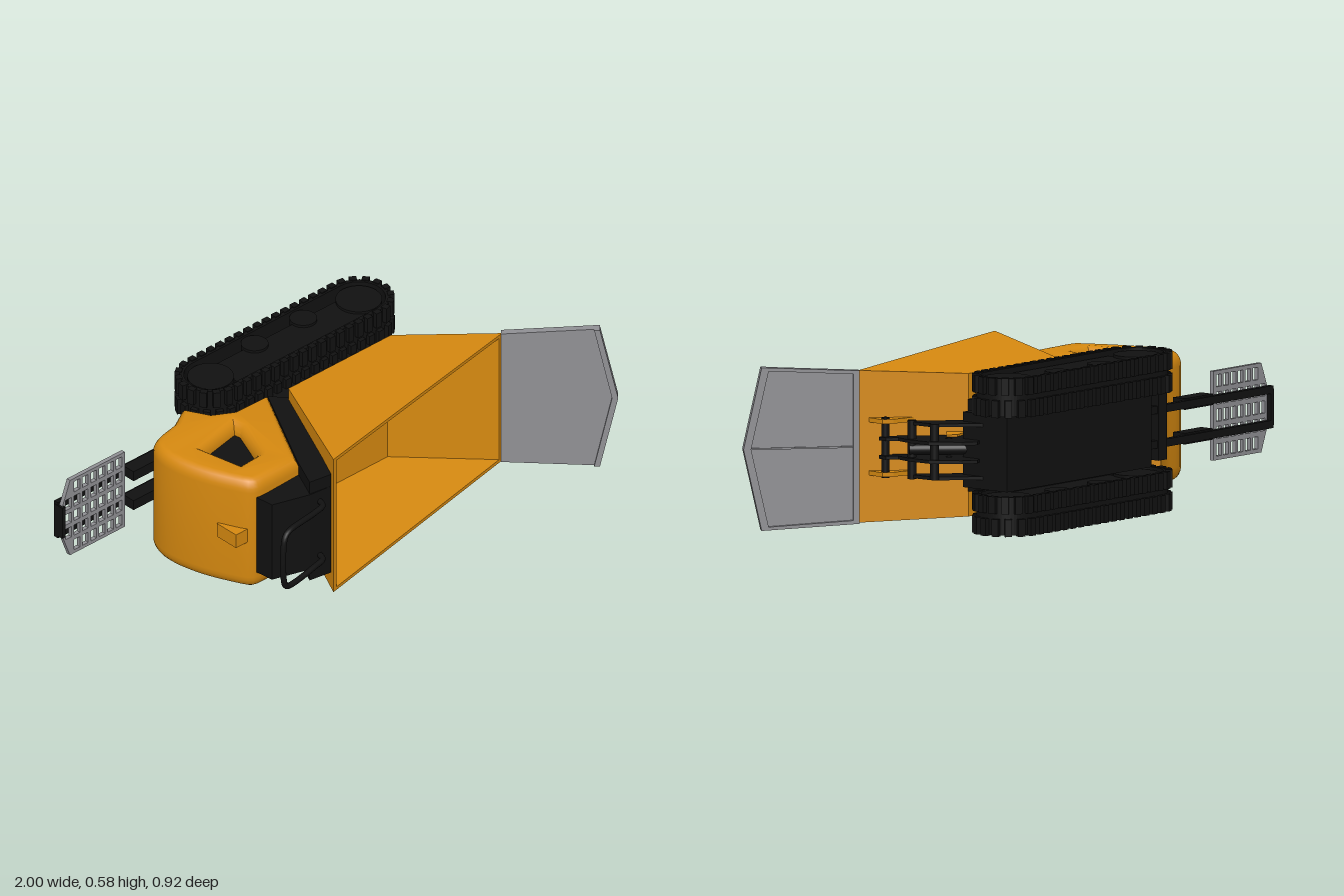
import * as THREE from 'three';
import { mergeGeometries, toCreasedNormals } from 'three/addons/utils/BufferGeometryUtils.js';

const paint = (color) => new THREE.MeshStandardMaterial({ color });
const yellow = paint(0xd68910), black = paint(0x111111), grey = paint(0x909094);
const sheet = paint(0xd68910);
sheet.side = THREE.DoubleSide;

const V = (pts) => pts.map((p) => new THREE.Vector2(p[0], p[1]));
const shapeOf = (pts) => new THREE.Shape(V(pts));

// Everything is built upright (x along, y up, z across), then laid on its side.
export function createModel() {
  const root = new THREE.Group();
  root.name = 'trackedDumper';
  const body = new THREE.Group();
  body.name = 'machine';
  body.rotation.x = Math.PI / 2;
  body.position.y = 0.295;
  root.add(body);

  const add = (name, geo, mat, parent = body) => {
    const m = new THREE.Mesh(geo, mat);
    m.name = name;
    parent.add(m);
    return m;
  };
  const box = (name, x0, x1, y0, y1, z0, z1, mat, parent) => {
    const m = add(name, new THREE.BoxGeometry(x1 - x0, y1 - y0, z1 - z0), mat, parent);
    m.position.set((x0 + x1) / 2, (y0 + y1) / 2, (z0 + z1) / 2);
    return m;
  };
  const slab = (name, shape, z0, z1, mat, parent) => {
    const g = new THREE.ExtrudeGeometry(shape, { depth: z1 - z0, bevelEnabled: false, curveSegments: 16 });
    g.translate(0, 0, z0);
    return add(name, g, mat, parent);
  };
  const rod = (name, x, y, r, z0, z1, mat, parent) => {
    const g = new THREE.CylinderGeometry(r, r, z1 - z0, 28);
    g.rotateX(Math.PI / 2);
    const m = add(name, g, mat, parent);
    m.position.set(x, y, (z0 + z1) / 2);
    return m;
  };

  // Tracks: hollow belt, staggered lugs, wheels and inner frame
  const xa = -0.255, xb = 0.46, yc = -0.332;
  const stadium = (T, r) => {
    const s = new T();
    s.absarc(xb, yc, r, -Math.PI / 2, Math.PI / 2, false);
    s.absarc(xa, yc, r, Math.PI / 2, Math.PI * 1.5, false);
    s.closePath();
    return s;
  };
  const run = xb - xa, lugR = 0.115, arc = Math.PI * lugR, total = 2 * (run + arc);
  const lugAt = (d) => {
    if (d < run) return [xa + d, yc - lugR, -Math.PI / 2];
    d -= run;
    if (d < arc) {
      const a = -Math.PI / 2 + d / lugR;
      return [xb + lugR * Math.cos(a), yc + lugR * Math.sin(a), a];
    }
    d -= arc;
    if (d < run) return [xb - d, yc + lugR, Math.PI / 2];
    const a = Math.PI / 2 + (d - run) / lugR;
    return [xa + lugR * Math.cos(a), yc + lugR * Math.sin(a), a];
  };
  for (const side of [1, -1]) {
    const track = new THREE.Group();
    track.name = side > 0 ? 'rightTrack' : 'leftTrack';
    track.position.z = side * 0.2125;
    body.add(track);
    const belt = stadium(THREE.Shape, 0.111);
    belt.holes.push(stadium(THREE.Path, 0.095));
    slab('belt', belt, -0.068, 0.068, black, track);
    const lugs = [], n = 48;
    for (let i = 0; i < n; i++) {
      for (const half of [1, -1]) {
        const [x, y, a] = lugAt(((i + (half > 0 ? 0.15 : 0.4)) / n) * total);
        const g = new THREE.BoxGeometry(0.024, 0.026, 0.062);
        g.rotateZ(a);
        g.translate(x, y, half * 0.0405);
        lugs.push(g);
      }
    }
    add('lugs', mergeGeometries(lugs), black, track);
    rod('idlerWheel', xa, yc, 0.083, -0.06, 0.06, black, track);
    rod('driveWheel', xb, yc, 0.083, -0.06, 0.06, black, track);
    for (const x of [0, 0.235]) rod('roller', x, -0.378, 0.049, -0.06, 0.06, black, track);
    box('trackFrame', -0.2, 0.44, -0.385, -0.245, -0.05, 0.05, black, track);
  }

  // Chassis between the tracks and the platform under the skip
  box('chassis', -0.3, 0.5, -0.362, -0.16, -0.135, 0.135, black);
  box('platform', -0.29, 0.41, -0.25, -0.107, -0.165, 0.165, black);

  // Hood with rounded edges and side windows
  const curved = new THREE.SplineCurve(V([
    [-0.5, 0.222], [-0.56, 0.21], [-0.605, 0.13], [-0.645, 0.03],
    [-0.668, -0.08], [-0.662, -0.17], [-0.62, -0.232], [-0.505, -0.26],
  ])).getPoints(24);
  const hood = new THREE.Shape([
    ...curved,
    ...V([[-0.435, -0.3], [-0.415, -0.31], [-0.4, -0.29], [-0.36, -0.215], [-0.29, -0.175], [-0.13, -0.165], [-0.335, 0.215]]),
  ]);
  hood.holes.push(new THREE.Path(V([[-0.53, -0.065], [-0.355, -0.1], [-0.35, -0.075], [-0.41, 0.07], [-0.425, 0.083], [-0.5, 0.088]])));
  const hoodGeo = new THREE.ExtrudeGeometry(hood, {
    depth: 0.36, bevelThickness: 0.05, bevelSize: 0.035, bevelOffset: -0.035, bevelSegments: 5,
  });
  hoodGeo.translate(0, 0, -0.18);
  add('hood', toCreasedNormals(hoodGeo, 0.6), yellow);
  box('windowCore', -0.56, -0.33, -0.12, 0.11, -0.18, 0.18, black);
  box('hoodLatch', -0.625, -0.555, 0.1, 0.2, -0.028, 0.028, yellow);

  // Bulkhead and control console
  slab('bulkhead', shapeOf([[-0.13, -0.17], [-0.08, -0.107], [-0.3, 0.345], [-0.39, 0.33], [-0.33, 0.2]]), -0.21, 0.21, black);
  slab('console', shapeOf([[-0.545, 0.2], [-0.535, 0.29], [-0.39, 0.335], [-0.3, 0.345], [-0.27, 0.2]]), -0.16, 0.16, black);

  // Handlebar loop
  const bar = [[-0.345, 0.32, 0.115], [-0.36, 0.365, 0.115], [-0.41, 0.38, 0.115], [-0.565, 0.406, 0.115], [-0.585, 0.41, 0.095]];
  const loop = [...bar, ...bar.map(([x, y, z]) => [x, y, -z]).reverse()].map((p) => new THREE.Vector3(...p));
  add('handlebar', new THREE.TubeGeometry(new THREE.CatmullRomCurve3(loop, false, 'centripetal'), 80, 0.011, 10), black);

  // Skip: open tub with thin walls, widening towards the rim
  const outer = [[-0.305, 0.362], [-0.09, -0.105], [0.405, -0.105], [0.685, 0.172]];
  const inner = [[-0.288, 0.359], [-0.045, -0.09], [0.375, -0.09], [0.668, 0.175]];
  const ring = (pts, s, t) => pts.map(([x, y]) => [x, y, s * (0.256 + (y + 0.105) * 0.06 - t)]);
  const oL = ring(outer, 1, 0), oR = ring(outer, -1, 0), iL = ring(inner, 1, 0.013), iR = ring(inner, -1, 0.013);
  const pos = [];
  const quad = (a, b, c, d) => pos.push(...a, ...b, ...c, ...a, ...c, ...d);
  quad(...oL);
  quad(...[...oR].reverse());
  quad(...[...iL].reverse());
  quad(...iR);
  for (let i = 0; i < 3; i++) {
    quad(oR[i], oR[i + 1], oL[i + 1], oL[i]);
    quad(iL[i], iL[i + 1], iR[i + 1], iR[i]);
  }
  quad(oL[0], oL[3], iL[3], iL[0]);
  quad(iR[0], iR[3], oR[3], oR[0]);
  quad(oR[0], oL[0], iL[0], iR[0]);
  quad(iR[3], iL[3], oL[3], oR[3]);
  const tub = new THREE.BufferGeometry();
  tub.setAttribute('position', new THREE.Float32BufferAttribute(pos, 3));
  tub.computeVertexNormals();
  add('skip', tub, sheet);

  // Chute flap: pointed plate with border, centre rib and hinge strip on its underside
  const flap = new THREE.Group();
  flap.name = 'chuteFlap';
  const [c, s] = [0.743, 0.669];
  flap.applyMatrix4(new THREE.Matrix4().makeBasis(
    new THREE.Vector3(c, s, 0), new THREE.Vector3(0, 0, 1), new THREE.Vector3(s, -c, 0),
  ).setPosition(0.68, 0.172, 0));
  body.add(flap);
  const plate = [[0, -0.274], [0.35, -0.292], [0.415, 0], [0.35, 0.292], [0, 0.274]];
  slab('flapPlate', shapeOf(plate), -0.004, 0.008, grey, flap);
  const border = shapeOf(plate);
  border.holes.push(new THREE.Path(V([[0.022, -0.262], [0.325, -0.279], [0.388, 0], [0.325, 0.279], [0.022, 0.262]])));
  slab('flapBorder', border, 0.008, 0.022, grey, flap);
  slab('endLip', shapeOf([[0.33, -0.291], [0.35, -0.292], [0.415, 0], [0.35, 0.292], [0.33, 0.291], [0.393, 0]]), -0.012, 0.022, grey, flap);
  box('centreRib', 0, 0.39, -0.003, 0.003, 0.008, 0.014, grey, flap);

  // Tipping linkage under the skip
  const arm = shapeOf([[0.4, -0.18], [0.53, -0.25], [0.575, -0.215], [0.642, -0.12], [0.645, -0.03], [0.63, 0.03], [0.662, 0.06], [0.66, 0.095], [0.635, 0.1], [0.58, 0.045], [0.5, -0.035], [0.41, -0.107]]);
  const hole = new THREE.Path();
  hole.absarc(0.525, -0.115, 0.012, 0, Math.PI * 2, true);
  arm.holes.push(hole);
  for (const z of [-0.033, 0.033]) {
    slab('tippingArm', arm, z - 0.006, z + 0.006, black);
    slab('ramLug', shapeOf([[0.4, -0.1], [0.46, -0.05], [0.52, -0.1], [0.49, -0.125]]), z * 1.35 - 0.004, z * 1.35 + 0.004, yellow);
  }
  for (const z of [-0.095, 0.095]) {
    slab('skipLug', shapeOf([[0.545, 0.03], [0.63, 0.052], [0.665, 0.075], [0.655, 0.155]]), z - 0.008, z + 0.008, yellow);
    slab('linkPlate', shapeOf([[0.42, -0.2], [0.5, -0.25], [0.62, -0.12], [0.625, -0.01], [0.6, -0.01], [0.52, -0.1]]), z - 0.006, z + 0.006, black);
  }
  rod('upperPin', 0.64, 0.082, 0.014, -0.108, 0.108, black);
  rod('middlePin', 0.615, -0.02, 0.016, -0.105, 0.105, black);
  rod('lowerPin', 0.61, -0.12, 0.016, -0.1, 0.1, black);
  const ram = add('hydraulicRam', new THREE.CylinderGeometry(0.02, 0.02, 0.26, 20), black);
  ram.position.set(0.535, -0.11, 0);
  ram.rotation.z = -0.75;

  // Rear step: arms, brackets and pointed grating
  for (const z of [-0.062, 0.062]) {
    box('stepArm', -0.998, -0.3, -0.345, -0.325, z - 0.014, z + 0.014, black);
    box('armSleeve', -0.675, -0.52, -0.335, -0.28, z - 0.02, z + 0.02, black);
  }
  box('stepCrossBar', -0.4, -0.355, -0.35, -0.3, -0.12, 0.12, black);
  box('stepEndBar', -1, -0.985, -0.345, -0.3, -0.065, 0.065, black);
  const grate = shapeOf([[-0.69, -0.16], [-0.955, -0.16], [-0.993, -0.06], [-0.993, 0.06], [-0.955, 0.16], [-0.69, 0.16]]);
  for (let i = 0; i < 7; i++) {
    for (let j = -2; j <= 2; j++) {
      if (i === 6 && Math.abs(j) === 2) continue;
      const x = -0.719 - i * 0.0405, z = j * 0.062;
      grate.holes.push(new THREE.Path(V([[x - 0.014, z - 0.022], [x + 0.014, z - 0.022], [x + 0.014, z + 0.022], [x - 0.014, z + 0.022]])));
    }
  }
  const step = slab('stepGrating', grate, -0.008, 0.008, grey);
  step.rotation.x = Math.PI / 2;
  step.position.y = -0.317;

  return root;
}
